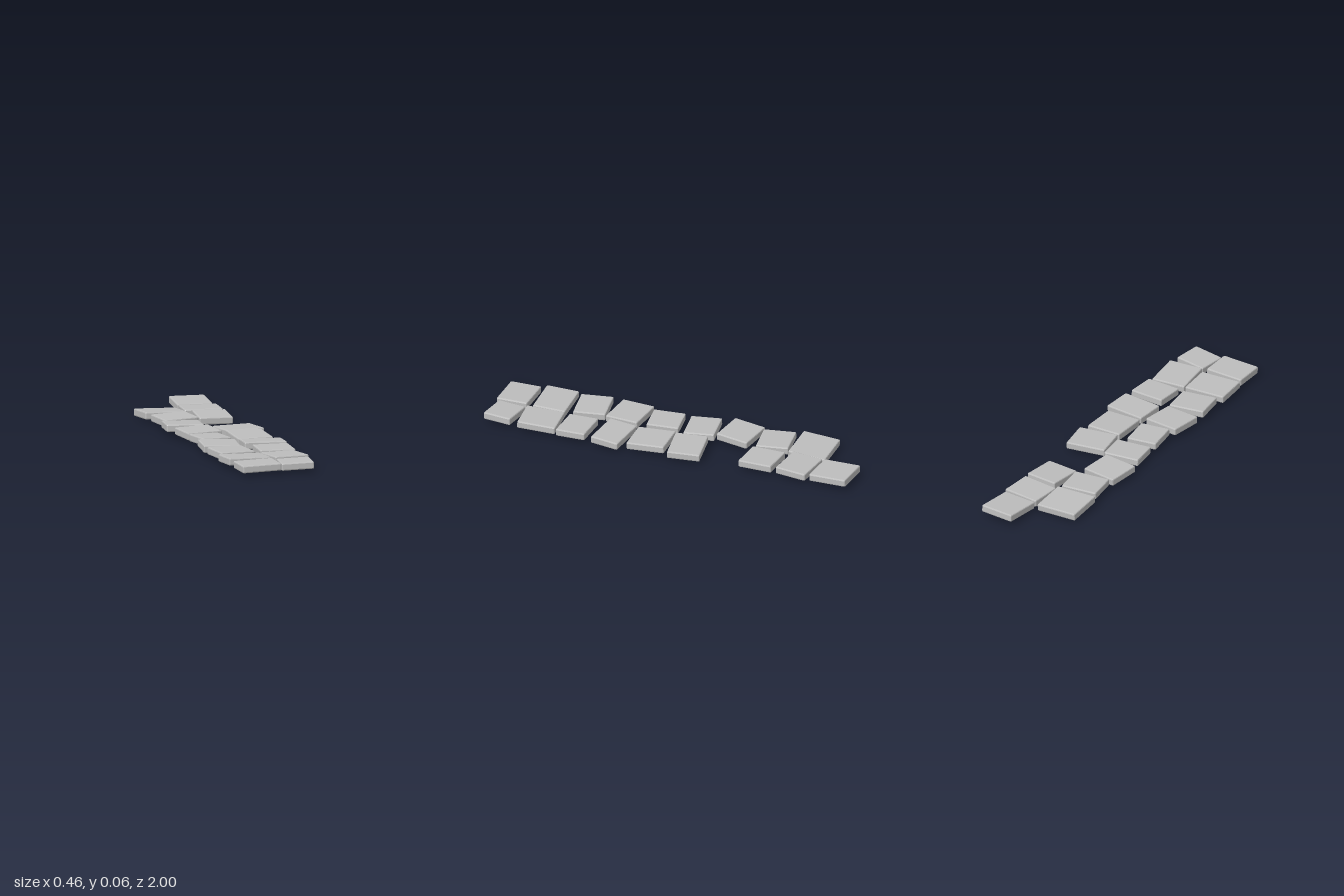
import * as THREE from 'three';
import { RoundedBoxGeometry } from 'three/addons/geometries/RoundedBoxGeometry.js';

// Each slab: x, z, width, depth, yaw, pitch, roll, optional centre height
const rightColumn = [
  [-0.116, -0.693, 0.224, 0.2, 0, -0.07, -0.03, 0.029],
  [-0.103, -0.491, 0.19, 0.17, 0.14, 0.02, 0.02],
  [-0.123, -0.291, 0.193, 0.176, -0.15, -0.05, -0.01],
  [-0.103, -0.091, 0.19, 0.162, 0.14, 0.03, 0.01],
  [-0.103, 0.109, 0.16, 0.168, 0.12, -0.02, -0.02],
  [-0.116, 0.31, 0.193, 0.18, -0.12, 0.02, -0.02],
  [-0.117, 0.511, 0.19, 0.17, 0.135, 0.02, -0.02],
  [-0.108, 0.712, 0.224, 0.174, 0.035, -0.04, -0.02],
  [-0.101, 0.911, 0.206, 0.166, 0, 0, 0.025],
];
const leftColumn = [
  [0.108, -0.892, 0.186, 0.202, -0.08, 0.05, 0, 0.037],
  [0.099, -0.693, 0.198, 0.167, -0.11, -0.03, 0.01],
  [0.099, -0.491, 0.174, 0.184, -0.09, 0.04, 0],
  [0.111, -0.09, 0.212, 0.171, 0.15, -0.02, -0.01],
  [0.107, 0.11, 0.188, 0.202, 0.02, 0.05, 0],
  [0.116, 0.311, 0.22, 0.152, -0.11, -0.05, -0.01],
  [0.112, 0.512, 0.186, 0.159, -0.04, 0.03, 0],
  [0.106, 0.712, 0.184, 0.201, 0.085, -0.05, 0],
  [0.1, 0.913, 0.168, 0.152, -0.13, 0, 0.04],
];

const THICKNESS = 0.038;
const BEVEL = 0.006;

// Stone slab with a small flat chamfer on every edge
function makeSlab([x, z, width, depth, yaw, pitch, roll, y = 0.034], material) {
  const geometry = new RoundedBoxGeometry(width, THICKNESS, depth, 1, BEVEL);
  geometry.computeVertexNormals();
  const slab = new THREE.Mesh(geometry, material);
  slab.position.set(x, y, z);
  slab.rotation.set(pitch, yaw, roll, 'YXZ');
  return slab;
}

export function createModel() {
  const model = new THREE.Group();
  model.name = 'pavingPath';
  const stone = new THREE.MeshStandardMaterial({ color: 0xbdbdbd });
  stone.name = 'light grey stone';

  // Two rows of loosely laid slabs
  for (const [name, column] of [['right', rightColumn], ['left', leftColumn]]) {
    const row = new THREE.Group();
    row.name = `${name}SlabRow`;
    column.forEach((spec, i) => {
      const slab = makeSlab(spec, stone);
      slab.name = `${name}Slab${i + 1}`;
      row.add(slab);
    });
    model.add(row);
  }
  return model;
}
